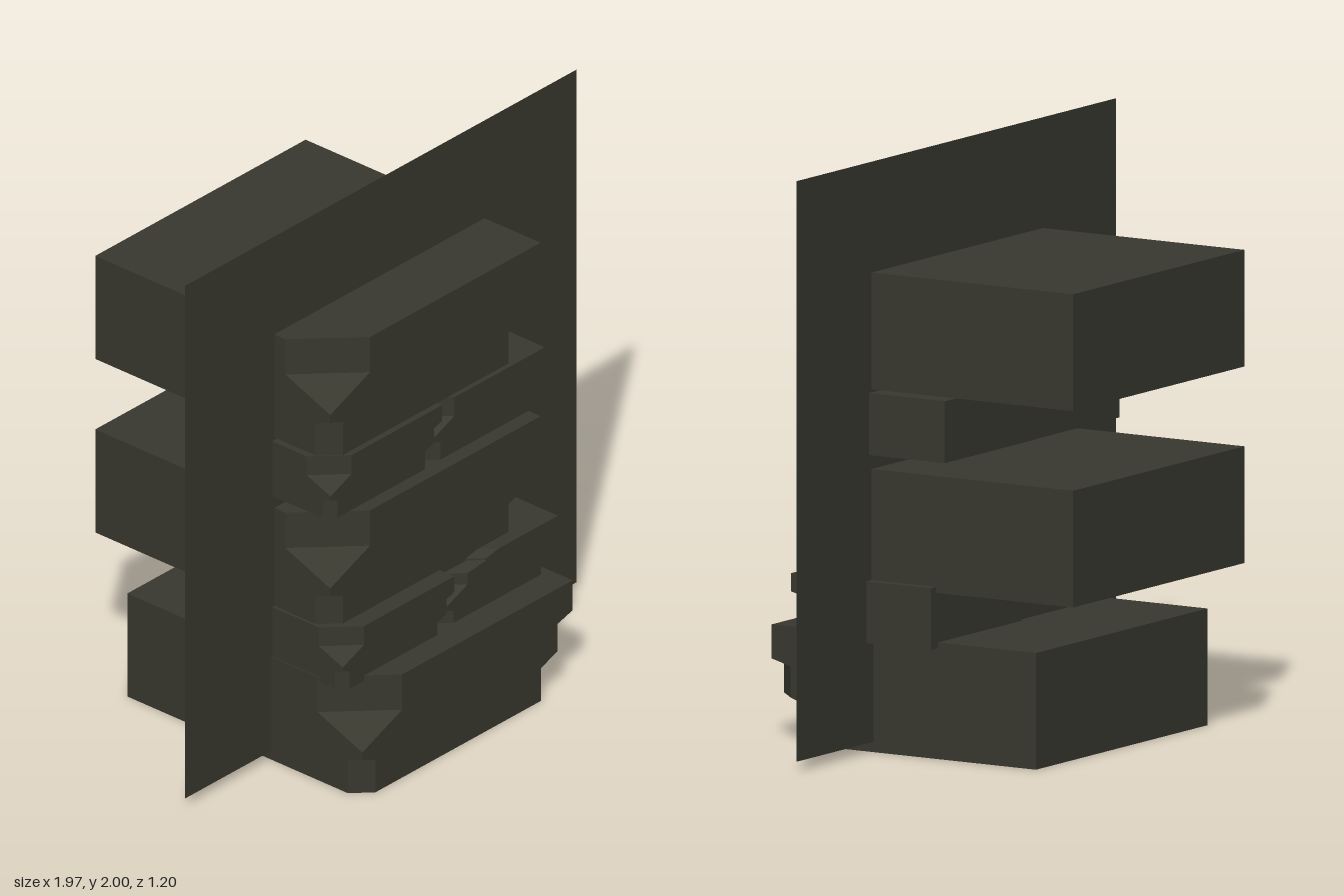
import * as THREE from 'three';

const material = new THREE.MeshStandardMaterial({ color: 0x38382f, flatShading: true, side: THREE.DoubleSide });

// Full-size block; smaller blocks are scaled copies
const W = 1.055, H = 0.395, D = 1.05;

// Front corner chips as [height, chamfer size] pairs
const RIGHT_CHIPS = [[0, 0.16], [0.125, 0.16], [0.155, 0.075], [0.26, 0.075], [0.28, 0], [H, 0]];
const LEFT_CHIPS = [[0, 0.065], [0.125, 0.065], [0.15, 0], [0.18, 0], [0.26, 0.2], [H, 0.2]];
const WORN_LEFT_CHIPS = [...LEFT_CHIPS.slice(0, 5), [0.34, 0.2], [0.36, 0.38], [0.373, 0.38], [H, 0.49]];

function sizeAt(profile, y) {
  for (let i = 1; i < profile.length; i++) {
    const [y0, s0] = profile[i - 1], [y1, s1] = profile[i];
    if (y <= y1) return s0 + (s1 - s0) * (y - y0) / (y1 - y0);
  }
  return profile[profile.length - 1][1];
}

// Loft a rectangle with two changing chamfers; base at y = 0, front at z = 0
function blockGeometry(left, right) {
  const heights = [...new Set([...left, ...right].map((p) => p[0]))].sort((a, b) => a - b);
  const rings = heights.map((y) => {
    const a = sizeAt(left, y), b = sizeAt(right, y), w = W / 2;
    return [[-w, -a], [-w + a, 0], [w - b, 0], [w, -b], [w, -D], [-w, -D]]
      .map(([x, z]) => new THREE.Vector3(x, y, z));
  });
  const points = [];
  const tri = (a, b, c) => {
    if (new THREE.Triangle(a, b, c).getArea() > 1e-7) points.push(a, b, c);
  };
  for (let r = 1; r < rings.length; r++) {
    const lo = rings[r - 1], hi = rings[r];
    for (let i = 0; i < 6; i++) {
      const j = (i + 1) % 6;
      tri(lo[i], lo[j], hi[j]);
      tri(lo[i], hi[j], hi[i]);
    }
  }
  // Bottom and top caps
  const bottom = rings[0], top = rings[rings.length - 1];
  for (let i = 1; i < 5; i++) {
    tri(bottom[0], bottom[i + 1], bottom[i]);
    tri(top[0], top[i], top[i + 1]);
  }
  const geometry = new THREE.BufferGeometry().setFromPoints(points);
  geometry.computeVertexNormals();
  return geometry;
}

export function createModel() {
  const model = new THREE.Group();
  model.name = 'stoneWall';
  const chipped = blockGeometry(LEFT_CHIPS, RIGHT_CHIPS);
  const worn = blockGeometry(WORN_LEFT_CHIPS, RIGHT_CHIPS);

  // name, geometry, centre x, base y, front z, scale
  const blocks = [
    ['bottomBlock', chipped, -0.02, 0, 0.605, 1],
    ['lowerRightSmallBlock', chipped, -0.265, 0.375, 0.515, 0.53],
    ['lowerLeftSmallBlock', worn, 0.272, 0.375, 0.5, 0.53],
    ['middleBlock', chipped, -0.007, 0.565, 0.45, 1],
    ['upperRightSmallBlock', chipped, -0.265, 1.01, 0.46, 0.53],
    ['upperLeftSmallBlock', chipped, 0.257, 1.01, 0.455, 0.53],
    ['topBlock', chipped, -0.007, 1.23, 0.45, 1],
  ];
  for (const [name, geometry, x, y, z, scale] of blocks) {
    const block = new THREE.Mesh(geometry, material);
    block.name = name;
    block.position.set(x, y, z);
    block.scale.setScalar(scale);
    model.add(block);
  }

  // Thin upright sheet crossing the blocks
  const panel = new THREE.Mesh(new THREE.PlaneGeometry(1.965, 1.965), material);
  panel.name = 'wallPanel';
  panel.position.set(0, 1.0175, 0.2);
  model.add(panel);
  return model;
}
